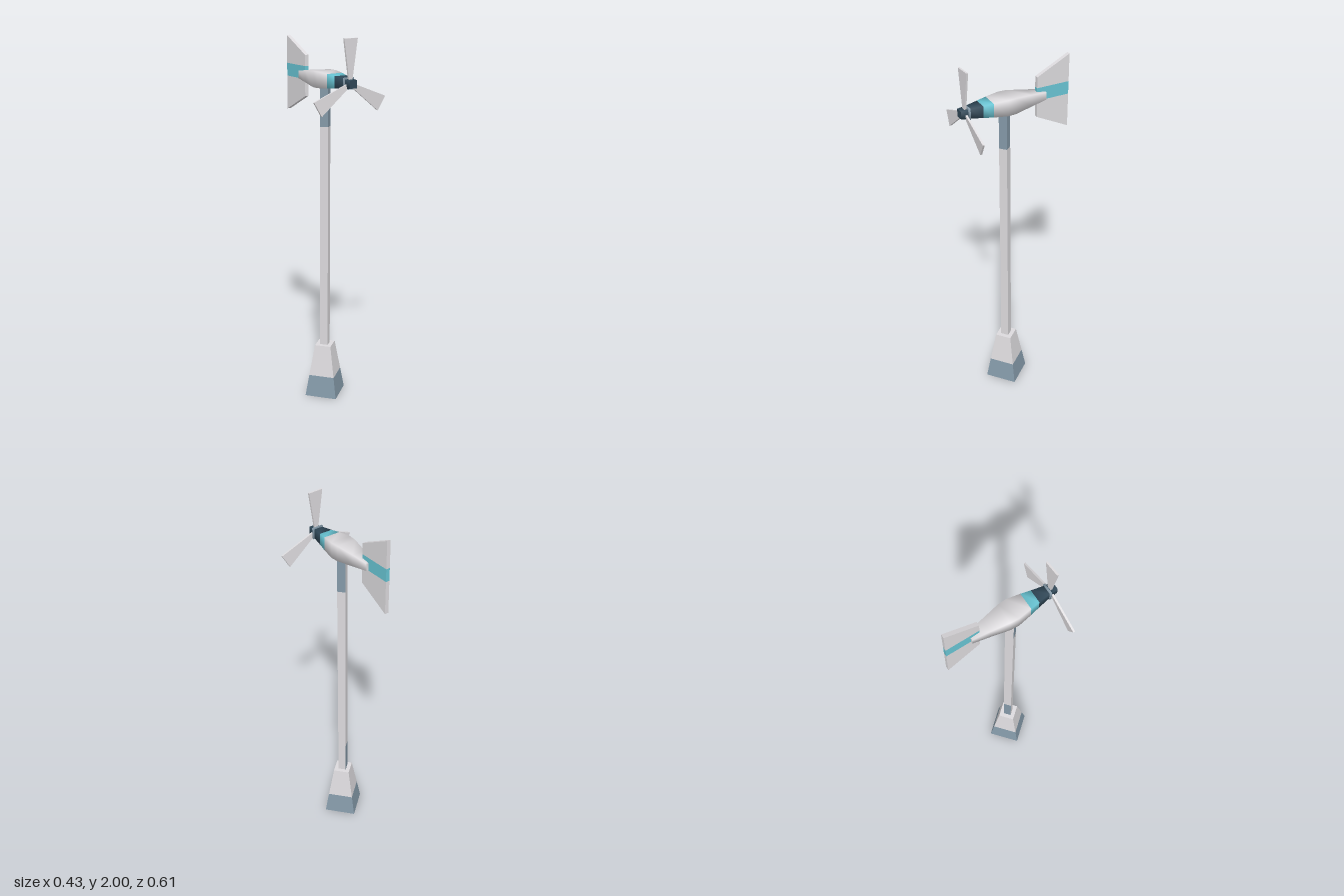
import * as THREE from 'three';

const mat = (name, color) => Object.assign(new THREE.MeshStandardMaterial({ color }), { name });

export function createModel() {
  const light = mat('light grey', 0xdcdadd);
  const slate = mat('slate blue', 0x8499a8);
  const teal = mat('teal', 0x68c4d3);
  const dark = mat('dark navy', 0x2f4757);
  const model = new THREE.Group();
  model.name = 'windTurbine';

  const add = (parent, name, geometry, material) => {
    const mesh = new THREE.Mesh(geometry, material);
    mesh.name = name;
    parent.add(mesh);
    return mesh;
  };

  // Four-sided tapered column; faces run front-left, back-left, back-right, front-right
  const column = (rTop, rBottom, y0, y1, open) => {
    const g = new THREE.CylinderGeometry(rTop, rBottom, y1 - y0, 4, 1, open).toNonIndexed();
    g.translate(0, (y0 + y1) / 2, 0);
    g.computeVertexNormals();
    return g;
  };

  // Lofted rectangular body along z; sections are [z, half width, half height]
  const loft = (sections, capped) => {
    const pos = [], index = [];
    const corners = [[-1, -1], [1, -1], [1, 1], [-1, 1]];
    const ring = ([z, w, h]) => corners.forEach(([a, b]) => pos.push(a * w, b * h, z));
    sections.forEach(ring);
    for (let s = 0; s < sections.length - 1; s++) {
      for (let i = 0; i < 4; i++) {
        const a = s * 4 + i, b = s * 4 + (i + 1) % 4;
        index.push(a, b, b + 4, a, b + 4, a + 4);
      }
    }
    if (capped) {
      const n = sections.length * 4;
      ring(sections[0]);
      ring(sections[sections.length - 1]);
      index.push(n, n + 2, n + 1, n, n + 3, n + 2, n + 4, n + 5, n + 6, n + 4, n + 6, n + 7);
    }
    const g = new THREE.BufferGeometry();
    g.setAttribute('position', new THREE.Float32BufferAttribute(pos, 3));
    g.setIndex(index);
    g.computeVertexNormals();
    return g;
  };

  // Flat plate from an outline, centred on its thickness
  const plate = (points, depth) => {
    const shape = new THREE.Shape(points.map(([x, y]) => new THREE.Vector2(x, y)));
    return new THREE.ExtrudeGeometry(shape, { depth, bevelEnabled: false }).translate(0, 0, -depth / 2);
  };

  // Base and mast
  const tower = new THREE.Group();
  tower.name = 'tower';
  tower.position.z = 0.057;
  tower.rotation.y = -0.05;
  model.add(tower);
  add(tower, 'baseLower', column(0.1, 0.125, 0, 0.12), slate);
  add(tower, 'baseUpper', column(0.063, 0.1, 0.12, 0.295), light);

  const mastBands = [
    ['mastLower', 0.29, 0.48, [light, light, slate, light]],
    ['mastMiddle', 0.48, 1.53, [light, light, light, light]],
    ['mastUpper', 1.53, 1.76, [slate, slate, light, slate]],
  ];
  for (const [name, y0, y1, faces] of mastBands) {
    const g = column(0.031, 0.031, y0, y1, true);
    g.clearGroups();
    faces.forEach((_, i) => g.addGroup(i * 6, 6, i));
    add(tower, name, g, faces);
  }

  // Head: nacelle, hub, blades and tail
  const head = new THREE.Group();
  head.name = 'head';
  head.position.y = 1.777;
  head.rotation.y = 0.032;
  model.add(head);
  add(head, 'nacelleBody', loft([
    [-0.17, 0.023, 0.02], [-0.08, 0.037, 0.031], [0.02, 0.055, 0.042], [0.065, 0.058, 0.042], [0.139, 0.046, 0.037],
  ], true), light);
  add(head, 'nacelleBand', loft([[0.139, 0.046, 0.037], [0.191, 0.036, 0.031]], true), teal);
  add(head, 'nacelleNose', loft([[0.191, 0.036, 0.031], [0.256, 0.025, 0.025]], true), dark);
  add(head, 'hubCollar', loft([[0.256, 0.03, 0.03], [0.267, 0.03, 0.03]], true), slate);
  add(head, 'hub', loft([[0.267, 0.025, 0.023], [0.304, 0.022, 0.02]], true), dark);

  // Three flared blades with a slight pitch
  for (let i = 0; i < 3; i++) {
    const spoke = new THREE.Group();
    spoke.name = 'bladeMount' + (i + 1);
    spoke.position.z = 0.276;
    spoke.rotation.z = i * Math.PI * 2 / 3;
    head.add(spoke);
    const outline = [[-0.01, 0.015], [0.01, 0.015], [0.042, 0.223], [-0.042, 0.223]];
    add(spoke, 'blade', plate(outline, 0.01), light).rotation.y = 0.06;
  }

  // Tail fin split into upper, band and lower panels; outlines are [z, y]
  const fins = [
    ['tailUpper', [[-0.122, 0.047], [-0.122, 0.106], [-0.304, 0.196], [-0.304, 0.047]], light],
    ['tailBand', [[-0.122, -0.022], [-0.122, 0.047], [-0.304, 0.047], [-0.304, -0.022]], teal],
    ['tailLower', [[-0.122, -0.112], [-0.122, -0.022], [-0.304, -0.022], [-0.304, -0.203]], light],
  ];
  for (const [name, outline, material] of fins) {
    add(head, name, plate(outline, 0.021).rotateY(-Math.PI / 2), material);
  }
  return model;
}
